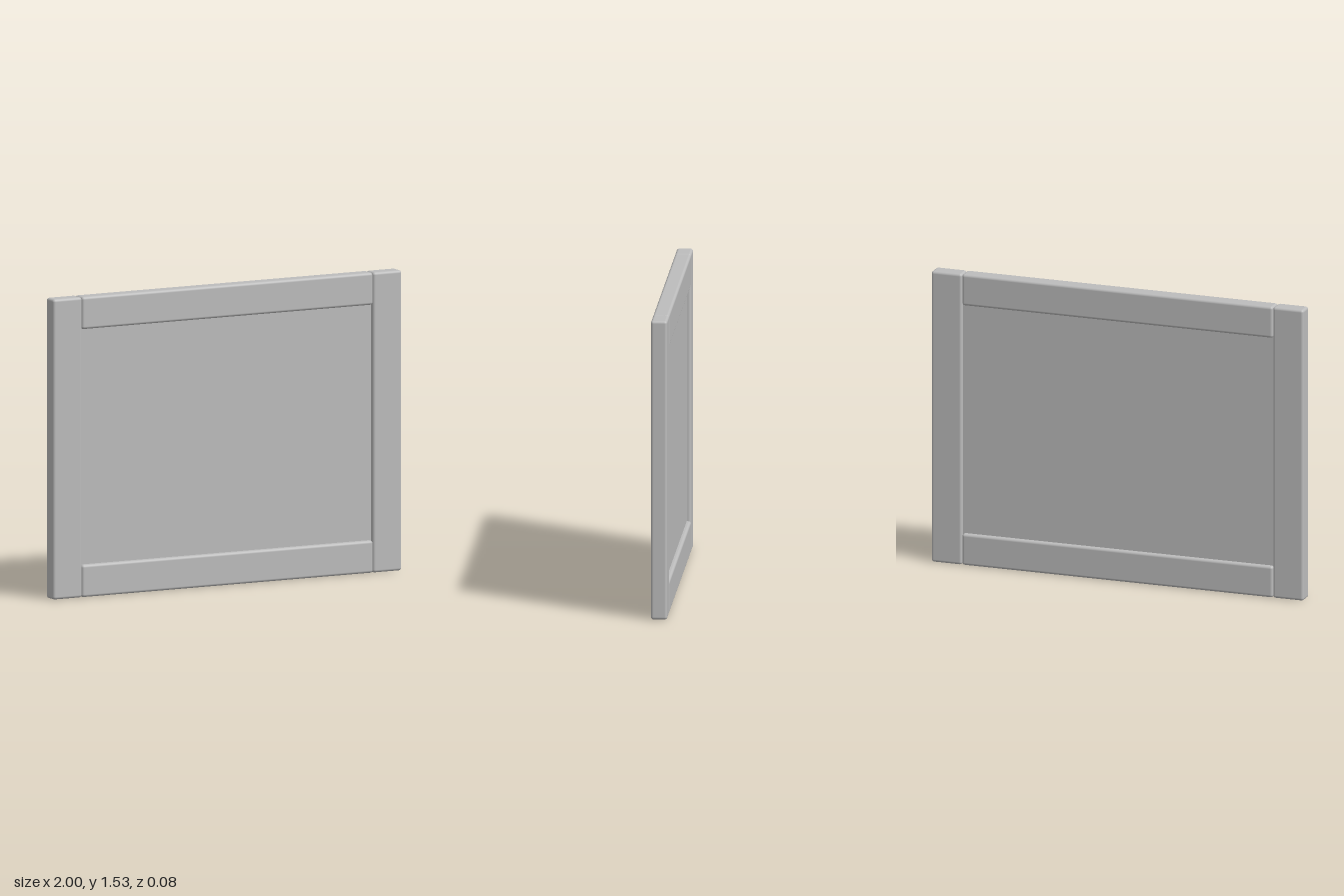
import * as THREE from 'three';
import { RoundedBoxGeometry } from 'three/addons/geometries/RoundedBoxGeometry.js';

const HEIGHT = 1.535, DEPTH = 0.083, BOARD = 0.165, BEVEL = 0.014;

export function createModel() {
  const group = new THREE.Group();
  group.name = 'framedPanel';
  const grey = new THREE.MeshStandardMaterial({ color: 0xbcbcbc });
  grey.name = 'light grey';

  const add = (name, geometry, x, y, z = 0) => {
    const mesh = new THREE.Mesh(geometry, grey);
    mesh.name = name;
    mesh.position.set(x, y, z);
    group.add(mesh);
  };
  const board = (w, h) => new RoundedBoxGeometry(w, h, DEPTH, 3, BEVEL);

  // Upright stiles at both ends, full height
  for (const [name, side] of [['leftStile', 1], ['rightStile', -1]]) {
    add(name, board(BOARD, HEIGHT), side * (1 - BOARD / 2), HEIGHT / 2);
  }

  // Horizontal rails fitted between the stiles
  const railLength = 2 - 2 * BOARD;
  add('bottomRail', board(railLength, BOARD), 0, BOARD / 2);
  add('topRail', board(railLength, BOARD), 0, HEIGHT - BOARD / 2);

  // Thin recessed panel, its edges tucked into the frame
  const tuck = 0.04;
  add('panel', new THREE.BoxGeometry(railLength + tuck, HEIGHT - 2 * BOARD + tuck, 0.034), 0, HEIGHT / 2, -0.003);

  return group;
}
